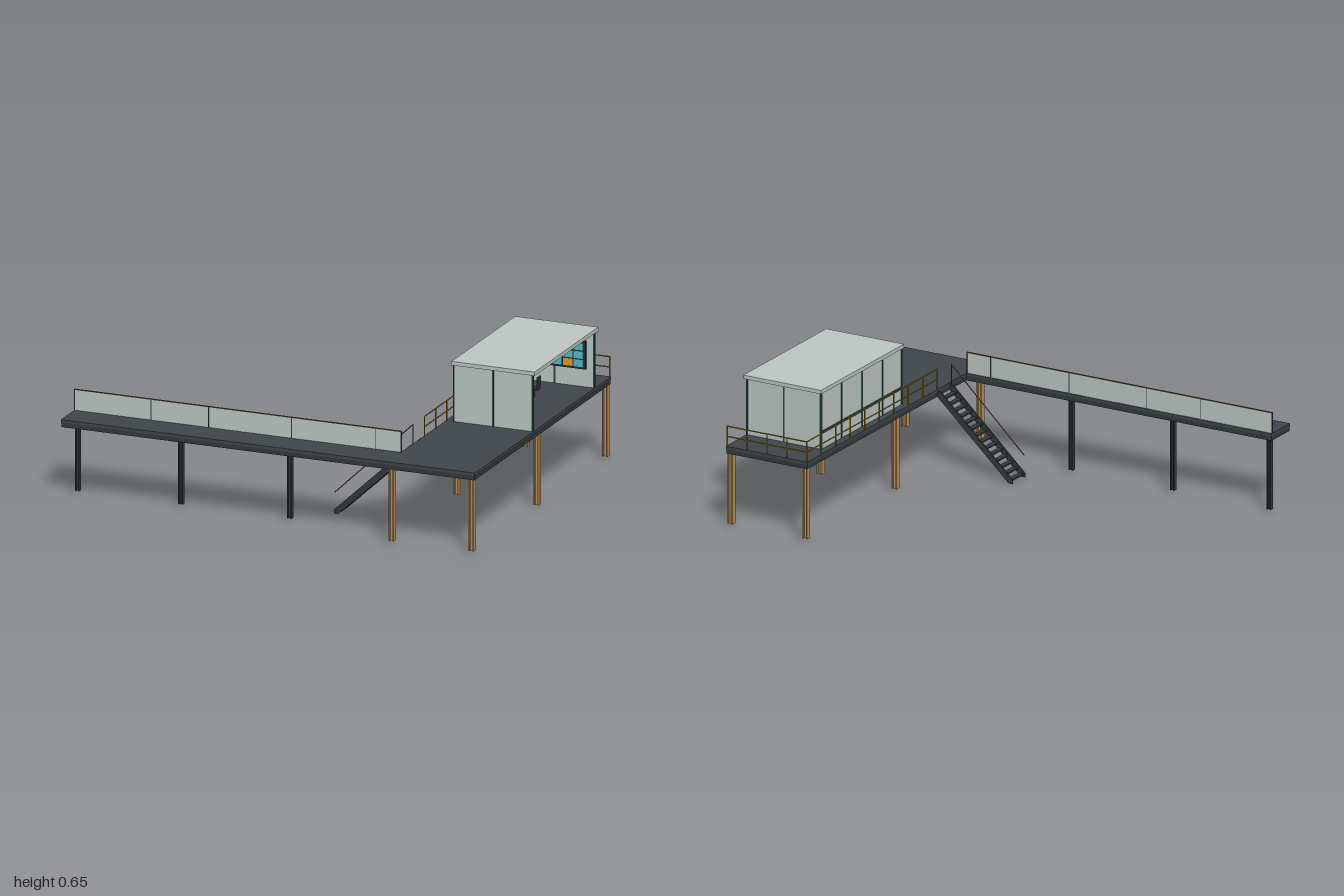
import * as THREE from 'three';

const material = (name, color) => {
  const m = new THREE.MeshStandardMaterial({ color });
  m.name = name;
  return m;
};

export function createModel() {
  const root = new THREE.Group();
  root.name = 'raisedPlatform';
  const deckGrey = material('deckGrey', 0x40464a);
  const steel = material('darkSteel', 0x33393d);
  const panel = material('paleGreyGreen', 0xbfc9c6);
  const frame = material('darkGreenFrame', 0x28483f);
  const tan = material('tanColumn', 0xbb935e);
  const yellow = material('railYellow', 0xa8821f);
  const brown = material('railBrown', 0x5a4632);
  const black = material('consoleBlack', 0x1f2a31);
  const cyan = material('screenCyan', 0x56bccb);
  const orange = material('screenOrange', 0xe0a02a);

  // Box given by its minimum and maximum corners
  const box = (name, mat, [x0, y0, z0], [x1, y1, z1], parent = root) => {
    const mesh = new THREE.Mesh(new THREE.BoxGeometry(x1 - x0, y1 - y0, z1 - z0), mat);
    mesh.position.set((x0 + x1) / 2, (y0 + y1) / 2, (z0 + z1) / 2);
    mesh.name = name;
    parent.add(mesh);
    return mesh;
  };
  // Thin round bar between two points
  const bar = (name, mat, a, b, r, parent = root) => {
    const p = new THREE.Vector3(...a), q = new THREE.Vector3(...b);
    const d = q.clone().sub(p);
    const mesh = new THREE.Mesh(new THREE.CylinderGeometry(r, r, d.length(), 6), mat);
    mesh.position.copy(p).add(q).multiplyScalar(0.5);
    mesh.quaternion.setFromUnitVectors(new THREE.Vector3(0, 1, 0), d.normalize());
    mesh.name = name;
    parent.add(mesh);
    return mesh;
  };
  const group = (name) => {
    const g = new THREE.Group();
    g.name = name;
    root.add(g);
    return g;
  };

  // L-shaped deck: plating over edge beams
  box('mainDeck', deckGrey, [0.57, 0.36, -0.77], [0.99, 0.375, 0.765]);
  box('mainDeckBeam', steel, [0.573, 0.34, -0.767], [0.987, 0.36, 0.762]);
  box('walkwayDeck', deckGrey, [-1, 0.36, 0.605], [0.57, 0.375, 0.765]);
  box('walkwayBeam', steel, [-0.997, 0.34, 0.608], [0.573, 0.36, 0.762]);

  // H-section columns
  const column = (name, mat, x, z, w) => {
    const g = group(name), h = w / 2, t = w * 0.22;
    for (const s of [-1, 1]) {
      const c = x + s * (h - t / 2);
      box('flange', mat, [c - t / 2, 0.01, z - h], [c + t / 2, 0.34, z + h], g);
    }
    box('web', mat, [x - h + t, 0.01, z - t / 2], [x + h - t, 0.34, z + t / 2], g);
  };
  for (const x of [0.588, 0.972]) for (const z of [0.753, 0.02, -0.75]) column('deckColumn', tan, x, z, 0.026);
  for (const x of [-0.975, -0.478, 0.045]) column('walkwayColumn', steel, x, 0.63, 0.021);

  // Walkway screen with slim posts and cap
  box('walkwayScreen', panel, [-1, 0.375, 0.609], [0.573, 0.469, 0.614]);
  box('screenCap', brown, [-1, 0.469, 0.608], [0.573, 0.473, 0.615]);
  for (const x of [-0.998, -0.63, -0.355, 0.045, 0.45, 0.571])
    box('screenPost', steel, [x - 0.002, 0.375, 0.608], [x + 0.002, 0.469, 0.615]);

  // Yellow guard rail along the inner side and the back
  const rail = group('guardRail');
  for (const y of [0.42, 0.468]) {
    bar('sideRail', yellow, [0.575, y, -0.766], [0.575, y, 0.36], 0.003, rail);
    bar('backRail', yellow, [0.575, y, -0.766], [0.985, y, -0.766], 0.003, rail);
  }
  for (let i = 0; i <= 9; i++) {
    const z = -0.766 + i * 0.125;
    bar('sidePost', yellow, [0.575, 0.375, z], [0.575, 0.47, z], 0.003, rail);
  }
  for (let i = 1; i <= 4; i++) {
    const x = 0.575 + i * 0.1025;
    bar('backPost', yellow, [x, 0.375, -0.766], [x, 0.47, -0.766], 0.003, rail);
  }

  // Stair: two stringers, treads and one handrail
  const stair = group('stair');
  for (const z of [0.358, 0.464]) {
    const s = new THREE.Shape([[0.185, 0], [0.205, 0], [0.57, 0.338], [0.57, 0.365], [0.555, 0.365], [0.185, 0.018]]
      .map((p) => new THREE.Vector2(...p)));
    const mesh = new THREE.Mesh(new THREE.ExtrudeGeometry(s, { depth: 0.006, bevelEnabled: false }), steel);
    mesh.position.z = z - 0.003;
    mesh.name = 'stringer';
    stair.add(mesh);
  }
  for (let i = 0; i < 14; i++) {
    const x = 0.205 + i * 0.0263, y = 0.013 + i * 0.0246;
    box('tread', steel, [x - 0.013, y - 0.003, 0.36], [x + 0.013, y + 0.003, 0.462], stair);
  }
  bar('handrail', brown, [0.19, 0.1, 0.466], [0.565, 0.46, 0.466], 0.0025, stair);
  bar('handrailPost', brown, [0.565, 0.35, 0.466], [0.565, 0.46, 0.466], 0.0025, stair);

  // Control cabin, open toward +x
  const cabin = group('cabin');
  box('roof', panel, [0.6, 0.637, -0.602], [1, 0.655, 0.115], cabin);
  box('sideWall', panel, [0.605, 0.375, -0.592], [0.611, 0.637, 0.105], cabin);
  for (const z of [-0.592, 0.101]) {
    box('endWall', panel, [0.611, 0.375, z], [0.985, 0.637, z + 0.006], cabin);
    for (const x of [0.608, 0.797, 0.986])
      box('endMullion', frame, [x - 0.004, 0.375, z - 0.002], [x + 0.004, 0.637, z + 0.008], cabin);
  }
  for (const z of [-0.415, -0.24, -0.065])
    box('sideMullion', frame, [0.602, 0.375, z - 0.004], [0.614, 0.637, z + 0.004], cabin);
  box('sideTransom', frame, [0.603, 0.452, -0.59], [0.613, 0.459, 0.105], cabin);

  // Display with a grid of coloured tiles; its face points along +x
  const display = (name, w, h, cols, rows) => {
    const g = new THREE.Group();
    g.name = name;
    box('displayCase', black, [-0.006, -h / 2, -w / 2], [0.006, h / 2, w / 2], g);
    const cw = (w - 0.014) / cols, ch = (h - 0.014) / rows;
    for (let c = 0; c < cols; c++) for (let r = 0; r < rows; r++) {
      const z = w / 2 - 0.007 - (c + 0.5) * cw, y = -h / 2 + 0.007 + (r + 0.5) * ch;
      box('displayTile', c === 2 && r === 0 ? orange : cyan,
        [0.006, y - ch * 0.43, z - cw * 0.45], [0.008, y + ch * 0.43, z + cw * 0.45], g);
    }
    cabin.add(g);
    return g;
  };

  // Desk with four displays
  box('deskBody', steel, [0.64, 0.375, -0.51], [0.72, 0.432, 0.03], cabin);
  box('deskTop', deckGrey, [0.63, 0.432, -0.515], [0.74, 0.441, 0.035], cabin);
  for (const z of [-0.05, -0.177, -0.307, -0.433]) {
    display('deskDisplay', 0.112, 0.054, 4, 2).position.set(0.665, 0.474, z);
    box('displayStand', black, [0.66, 0.441, z - 0.01], [0.67, 0.448, z + 0.01], cabin);
  }
  // Wall display on the back end wall
  const wallDisplay = display('wallDisplay', 0.22, 0.13, 4, 3);
  wallDisplay.rotation.y = -Math.PI / 2;
  wallDisplay.position.set(0.84, 0.525, -0.578);

  // Two chairs facing the desk
  for (const z of [-0.11, -0.372]) {
    box('chairBack', steel, [0.808, 0.415, z - 0.018], [0.816, 0.468, z + 0.018], cabin);
    box('chairSeat', steel, [0.77, 0.408, z - 0.018], [0.812, 0.416, z + 0.018], cabin);
    bar('chairStem', steel, [0.79, 0.375, z], [0.79, 0.41, z], 0.004, cabin);
  }
  return root;
}
